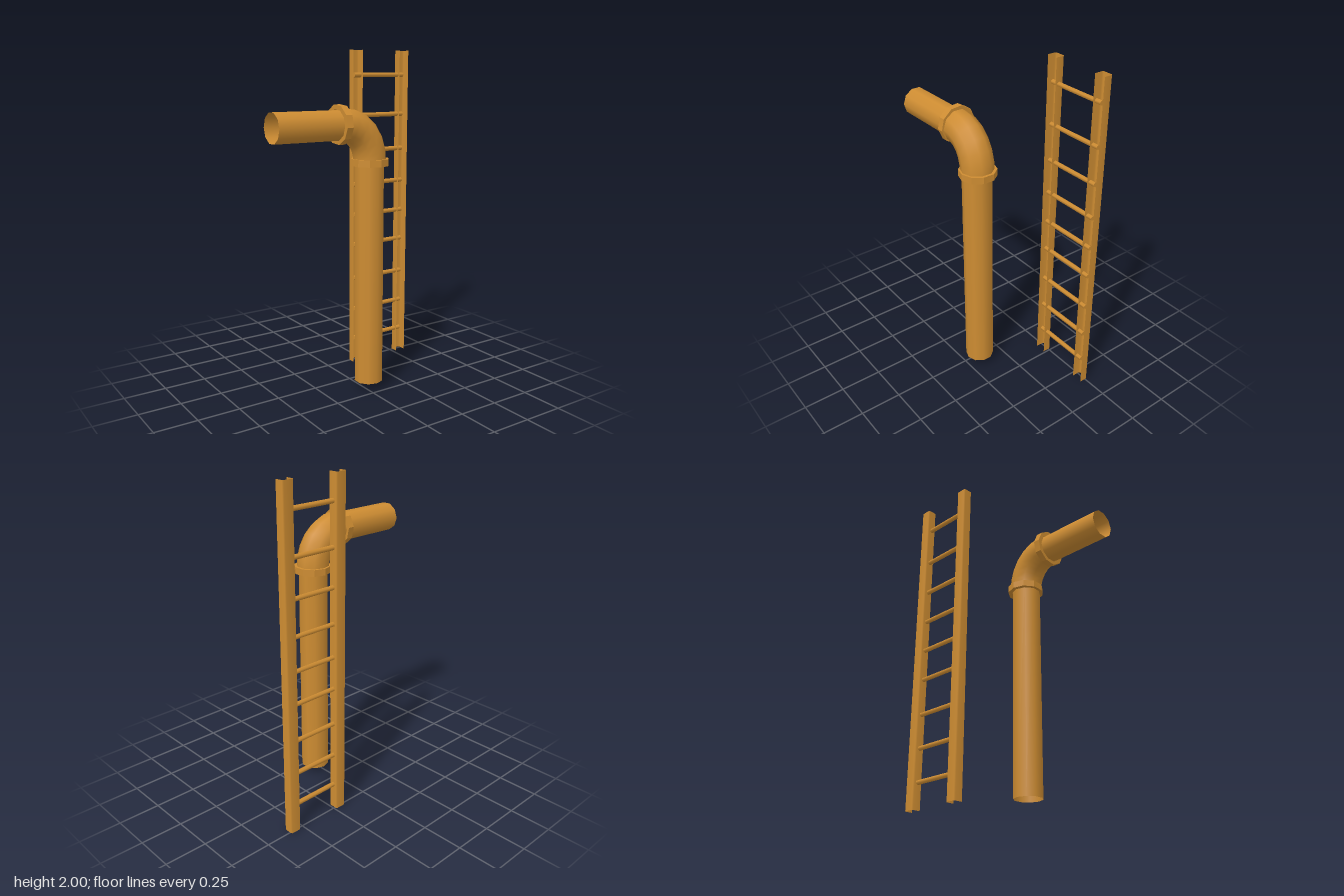
import * as THREE from 'three';

const material = new THREE.MeshStandardMaterial({ color: 0xcd8c32, side: THREE.DoubleSide });
const SIDES = 10;

function add(group, name, geometry, x = 0, y = 0, z = 0) {
  const mesh = new THREE.Mesh(geometry, material);
  mesh.name = name;
  mesh.position.set(x, y, z);
  group.add(mesh);
  return mesh;
}

// Open-ended straight pipe along y
const pipe = (radius, length) => new THREE.CylinderGeometry(radius, radius, length, SIDES, 1, true);

// Flat-faced collar ring around y
function collar(outer, inner, height) {
  const shape = new THREE.Shape();
  const hole = new THREE.Path();
  for (let i = 0; i <= SIDES; i++) {
    const a = (i / SIDES) * Math.PI * 2 + Math.PI / 2;
    const [c, s] = [Math.cos(a), Math.sin(a)];
    shape[i ? 'lineTo' : 'moveTo'](c * outer, s * outer);
    hole[i ? 'lineTo' : 'moveTo'](c * inner, s * inner);
  }
  shape.holes.push(hole);
  return new THREE.ExtrudeGeometry(shape, { depth: height, bevelEnabled: false })
    .translate(0, 0, -height / 2).rotateX(Math.PI / 2);
}

// Thin channel, open to the front: a plane folded along a U profile
function channel(height) {
  const profile = [[-0.034, 0.027], [-0.034, -0.02], [-0.028, -0.027],
    [0.028, -0.027], [0.034, -0.02], [0.034, 0.027]];
  const geometry = new THREE.PlaneGeometry(1, height, profile.length - 1, 1);
  const pos = geometry.attributes.position;
  for (let i = 0; i < pos.count; i++) {
    const [x, z] = profile[i % profile.length];
    pos.setXYZ(i, x, pos.getY(i), z);
  }
  geometry.computeVertexNormals();
  return geometry;
}

function createDrain() {
  const drain = new THREE.Group();
  drain.name = 'drainPipe';
  add(drain, 'verticalPipe', pipe(0.086, 1.33), 0.03, 0.715, 0.158);
  add(drain, 'horizontalPipe', pipe(0.086, 0.44), -0.37, 1.58, 0.15).rotation.z = Math.PI / 2;

  // Elbow: quarter bend between the two collars
  const v = (x, y, z) => new THREE.Vector3(x, y, z);
  const bend = new THREE.CubicBezierCurve3(
    v(-0.16, 1.581, 0.153), v(-0.045, 1.581, 0.153),
    v(0.033, 1.49, 0.156), v(0.033, 1.365, 0.156));
  add(drain, 'elbow', new THREE.TubeGeometry(bend, 6, 0.097, SIDES, false));

  add(drain, 'lowerCollar', collar(0.11, 0.085, 0.04), 0.035, 1.365, 0.155);
  add(drain, 'upperCollar', collar(0.112, 0.085, 0.04), -0.168, 1.584, 0.15)
    .rotation.set(0.1, 0, Math.PI / 2, 'XYZ');
  return drain;
}

function createLadder() {
  const ladder = new THREE.Group();
  ladder.name = 'ladder';
  for (const [name, x] of [['rightRail', 0.205], ['leftRail', 0.557]]) {
    add(ladder, name, channel(2), x, 1, -0.238);
  }
  const heights = [0.158, 0.358, 0.563, 0.785, 0.978, 1.175, 1.384, 1.604, 1.85];
  const rung = new THREE.CylinderGeometry(0.0145, 0.0145, 0.372, 6);
  rung.rotateZ(Math.PI / 2).rotateX(Math.PI / 2);
  for (const y of heights) add(ladder, 'rung', rung, 0.376, y, -0.235);
  return ladder;
}

export function createModel() {
  const model = new THREE.Group();
  model.name = 'pipeAndLadder';
  model.add(createDrain(), createLadder());
  return model;
}
